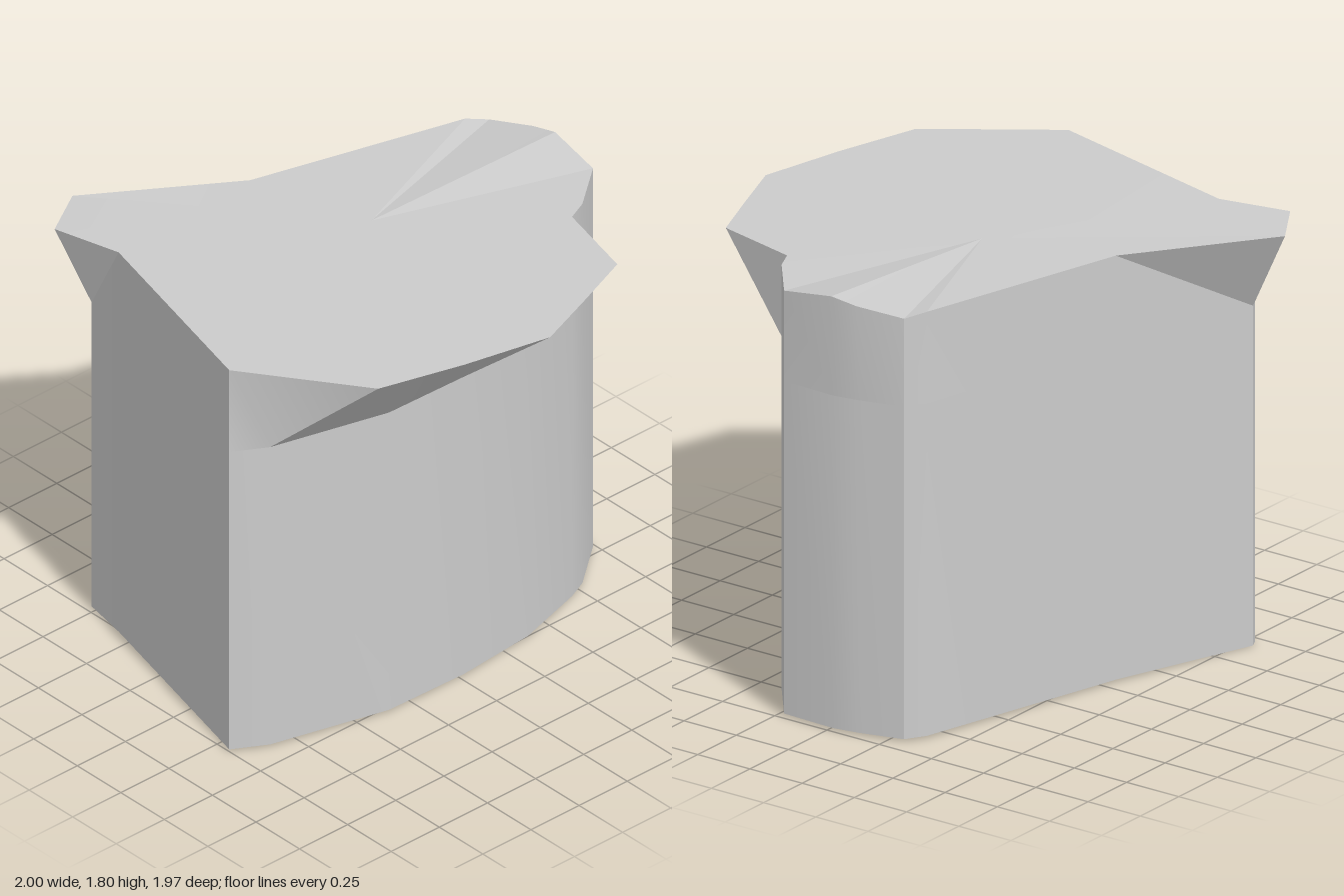
import * as THREE from 'three';
import { toCreasedNormals } from 'three/addons/utils/BufferGeometryUtils.js';

// Each column of the outline: base x, base z, shoulder height, rim x, rim y, rim z
const COLUMNS = [
  [-1, 0.32, 1.39, -1, 1.77, 0.32],
  // front overhang
  [-0.86, 0.4, 1.39, -0.66, 1.77, 0.8],
  [-0.36, 0.53, 1.39, -0.3, 1.77, 0.9],
  [0.02, 0.54, 1.39, 0.07, 1.77, 0.98],
  [0.38, 0.51, 1.39, 0.34, 1.77, 0.88],
  [0.69, 0.42, 1.39, 0.6, 1.77, 0.78],
  [0.69, 0.42, 1.39, 0.69, 1.77, 0.42],
  // rounded right end with its raised point
  [0.78, 0.38, 1.39, 0.78, 1.77, 0.38],
  [0.98, 0.22, 1.39, 0.98, 1.765, 0.22],
  [0.99, -0.02, 1.39, 1, 1.805, -0.02],
  [0.97, -0.13, 1.39, 0.985, 1.785, -0.13],
  [0.92, -0.31, 1.39, 0.92, 1.755, -0.31],
  [0.84, -0.36, 1.39, 0.84, 1.77, -0.36],
  // back wall and corner spout
  [-0.06, -0.6, 1.39, -0.06, 1.77, -0.6],
  [-0.68, -0.8, 1.41, -0.63, 1.76, -0.99],
  [-0.72, -0.78, 1.41, -0.84, 1.765, -0.86],
  [-0.77, -0.57, 1.39, -0.77, 1.77, -0.57],
];
const SPOUT_SIDE = 15;

function meshFrom(name, triangles, crease) {
  const geometry = new THREE.BufferGeometry();
  geometry.setAttribute('position', new THREE.Float32BufferAttribute(triangles.flat(2), 3));
  const material = new THREE.MeshStandardMaterial({ color: 0xcccccc, side: THREE.DoubleSide });
  const mesh = new THREE.Mesh(toCreasedNormals(geometry, crease), material);
  mesh.name = name;
  return mesh;
}

// Strip of faces between two closed rings
function band(lower, upper) {
  const triangles = [];
  const add = (p, q, r) => {
    const same = (s, t) => s.every((v, k) => v === t[k]);
    if (!same(p, q) && !same(q, r) && !same(p, r)) triangles.push([p, q, r]);
  };
  lower.forEach((a, i) => {
    const j = (i + 1) % lower.length;
    const b = lower[j], a2 = upper[i], b2 = upper[j];
    if (i === SPOUT_SIDE) {
      add(a, b, b2);
      add(a, b2, a2);
    } else {
      add(a, b, a2);
      add(b, b2, a2);
    }
  });
  return triangles;
}

export function createModel() {
  const group = new THREE.Group();
  group.name = 'openShell';

  const base = COLUMNS.map(([x, z], i) => [x, i === 14 || i === 15 ? 0 : 0.01, z]);
  const shoulder = COLUMNS.map(([x, z, y]) => [x, y, z]);
  const rim = COLUMNS.map((c) => c.slice(3));

  // Straight walls, open underneath
  group.add(meshFrom('walls', band(base, shoulder), 0.5));

  // Upper walls flaring out into the front overhang and the corner spout
  group.add(meshFrom('flaredRim', band(shoulder, rim), 0.5));

  // Almost flat top, creased toward the raised right end
  const centre = [0.1, 1.77, -0.08];
  const fan = rim.map((p, i) => [centre, p, rim[(i + 1) % rim.length]]);
  group.add(meshFrom('top', fan, 0.03));

  return group;
}
